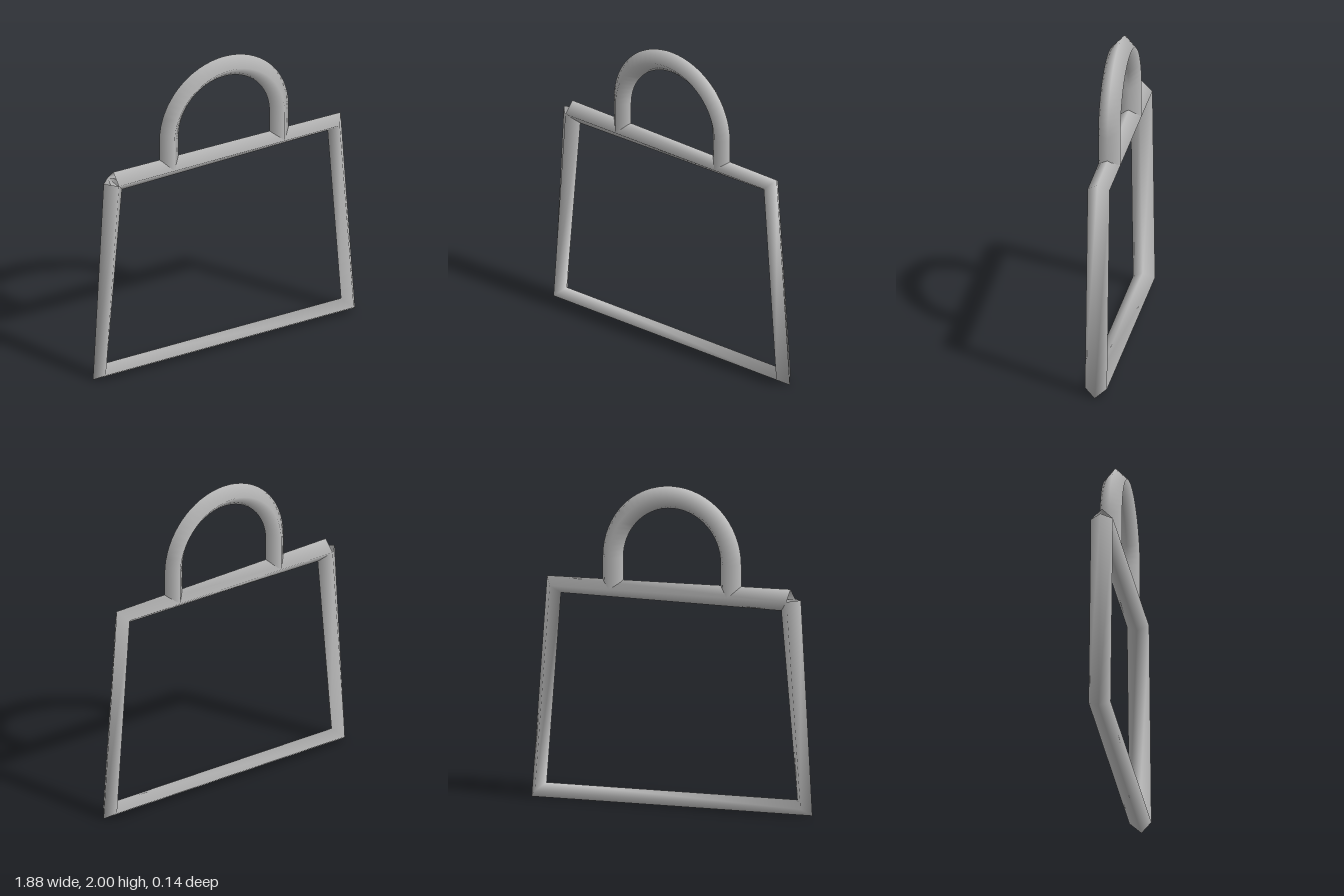
import * as THREE from 'three';

const RADIUS = 0.069;

// Polyline path with one tube ring per corner, each ring set on the bisector of its two sides
class CornerPath extends THREE.Curve {
  constructor(points) {
    super();
    this.points = points;
  }
  index(t) {
    return Math.round(t * (this.points.length - 1));
  }
  getPointAt(t, target = new THREE.Vector3()) {
    return target.copy(this.points[this.index(t)]);
  }
  getTangentAt(t, target = new THREE.Vector3()) {
    const p = this.points, i = this.index(t);
    target.set(0, 0, 0);
    if (i > 0) target.add(p[i].clone().sub(p[i - 1]).normalize());
    if (i < p.length - 1) target.add(p[i + 1].clone().sub(p[i]).normalize());
    return target.normalize();
  }
}

// Open four-sided tube with smooth radial normals
function bar(name, coords, material) {
  const points = coords.map(([x, y]) => new THREE.Vector3(x, y, 0));
  const path = new CornerPath(points);
  const mesh = new THREE.Mesh(new THREE.TubeGeometry(path, points.length - 1, RADIUS, 4, false), material);
  mesh.name = name;
  return mesh;
}

export function createModel() {
  const group = new THREE.Group();
  group.name = 'bagOutline';
  const grey = new THREE.MeshStandardMaterial({ color: 0xbfbfbf, side: THREE.DoubleSide });
  grey.name = 'grey';

  // Tapered body frame: starts and ends, unjoined, at the top right-hand corner of the bag
  group.add(bar('bodyFrame', [
    [-0.795, 1.337], [-0.89, 0.047], [0.89, 0.047], [0.79, 1.337], [-0.795, 1.337],
  ], grey));

  // Arched handle: two straight legs joined by a half circle
  const r = 0.395, centreY = 1.535, steps = 32;
  const arch = [[-r, 1.34]];
  for (let i = 0; i <= steps; i++) {
    const a = Math.PI * (1 - i / steps);
    arch.push([r * Math.cos(a), centreY + r * Math.sin(a)]);
  }
  arch.push([r, 1.34]);
  group.add(bar('handle', arch, grey));

  return group;
}
